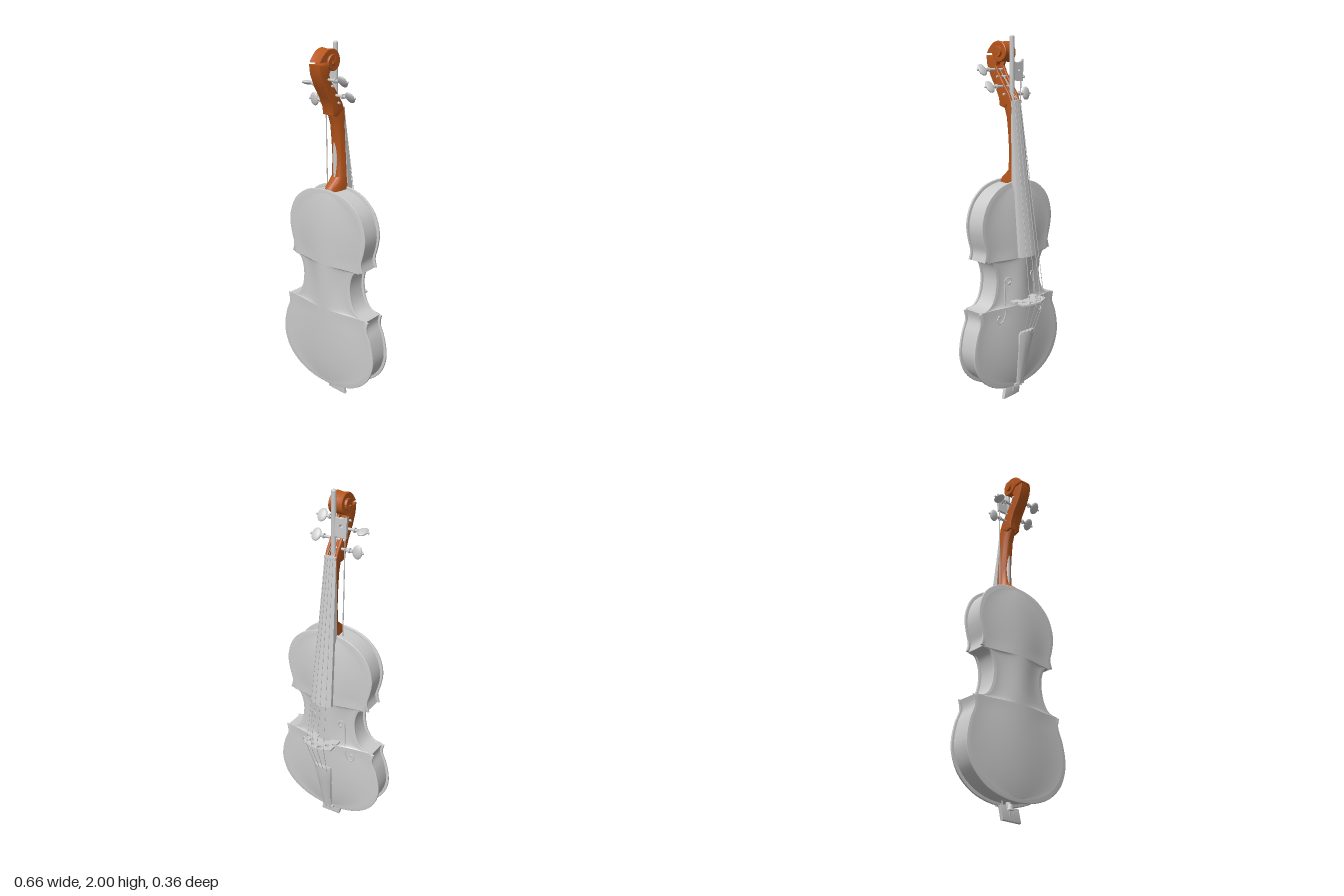
import * as THREE from 'three';
import { toCreasedNormals } from 'three/addons/utils/BufferGeometryUtils.js';

const V = (x, y, z = 0) => new THREE.Vector3(x, y, z);
const grey = new THREE.MeshStandardMaterial({ color: 0xcccccc, side: THREE.DoubleSide });
const wood = new THREE.MeshStandardMaterial({ color: 0xb8561c, side: THREE.DoubleSide });

function add(parent, name, geo, mat = grey) {
  const mesh = new THREE.Mesh(geo, mat);
  mesh.name = name;
  parent.add(mesh);
  return mesh;
}

// Skin over a list of equal-length closed rings, with fan caps.
function loft(rings, crease = 0.6) {
  const n = rings[0].length, pos = [], idx = [];
  rings.forEach(r => r.forEach(p => pos.push(p.x, p.y, p.z)));
  for (let i = 0; i < rings.length - 1; i++) for (let j = 0; j < n; j++) {
    const a = i * n + j, b = i * n + (j + 1) % n;
    idx.push(a, b, a + n, b, b + n, a + n);
  }
  [0, rings.length - 1].forEach(k => {
    const c = rings[k].reduce((s, p) => s.add(p), V(0, 0)).divideScalar(n), ci = pos.length / 3;
    pos.push(c.x, c.y, c.z);
    for (let j = 0; j < n; j++) {
      const a = k * n + j, b = k * n + (j + 1) % n;
      k ? idx.push(ci, a, b) : idx.push(ci, b, a);
    }
  });
  const g = new THREE.BufferGeometry();
  g.setAttribute('position', new THREE.Float32BufferAttribute(pos, 3));
  g.setIndex(idx);
  return toCreasedNormals(g, crease);
}

function rod(a, b, r, r2 = r, seg = 12) {
  const d = b.clone().sub(a);
  const g = new THREE.CylinderGeometry(r2, r, d.length(), seg);
  g.applyQuaternion(new THREE.Quaternion().setFromUnitVectors(V(0, 1), d.normalize()));
  const m = a.clone().add(b).multiplyScalar(0.5);
  return g.translate(m.x, m.y, m.z);
}

function extrude(shape, depth, bevel = 0) {
  const g = new THREE.ExtrudeGeometry(shape, { depth: depth - 2 * bevel, bevelEnabled: bevel > 0,
    bevelThickness: bevel, bevelSize: bevel, bevelOffset: -bevel, bevelSegments: 3, curveSegments: 12 });
  return toCreasedNormals(g.translate(0, 0, bevel), 0.6);
}
const poly = pts => new THREE.Shape(pts.map(p => new THREE.Vector2(p[0], p[1])));

// Half outline of the body, bottom to top: lower bout, waist, upper bout.
const bouts = [
  [[0, 0.08], [0.09, 0.088], [0.18, 0.115], [0.25, 0.16], [0.3, 0.22], [0.328, 0.3], [0.328, 0.37], [0.31, 0.45], [0.284, 0.515], [0.293, 0.568]],
  [[0.293, 0.568], [0.25, 0.574], [0.21, 0.594], [0.18, 0.645], [0.167, 0.72], [0.175, 0.785], [0.2, 0.83], [0.252, 0.841]],
  [[0.252, 0.841], [0.24, 0.89], [0.255, 0.95], [0.266, 1.02], [0.255, 1.09], [0.22, 1.16], [0.15, 1.218], [0.07, 1.244], [0, 1.25]]];
const half = bouts.flatMap(b => new THREE.SplineCurve(b.map(p => new THREE.Vector2(...p))).getPoints(24));
const MID = 0.665;
const inset = d => half.map(p => [Math.max(0, p.x - d), MID + (p.y - MID) * (1 - d / 0.585)]);
const outline = pts => poly([...pts, ...pts.slice(1, -1).reverse().map(p => [-p[0], p[1]])]);

// Arching height 0..1 at a fraction s of the half width.
const arch = (s, y) => (0.5 + 0.5 * Math.cos(Math.PI * Math.min(1, Math.abs(s)))) *
  Math.max(0, 1 - (Math.abs(y - MID) / 0.565) ** 4);

function dome(base, height) {
  const rows = inset(0.02), N = 32, pos = [], idx = [];
  rows.forEach(([w, y], i) => {
    for (let j = 0; j <= N; j++) {
      const s = (j / N) * 2 - 1;
      pos.push(s * w, y, base + height * arch(s, y));
      if (i && j) { const a = i * (N + 1) + j; idx.push(a, a - 1, a - N - 2, a, a - N - 2, a - N - 1); }
    }
  });
  const g = new THREE.BufferGeometry();
  g.setAttribute('position', new THREE.Float32BufferAttribute(pos, 3));
  g.setIndex(idx);
  g.computeVertexNormals();
  return g;
}
const BELLY = -0.0272, RISE = -0.038;
function bellyPoint(x, y) {
  const p = inset(0.02).find(q => q[1] >= y);
  return V(x, y, BELLY + RISE * arch(x / p[0], y));
}

// Board with a rounded playing face: [y, half width, underside z, edge z, crown z]
const board = secs => loft(secs.map(([y, w, under, edge, crown]) => {
  const ring = [V(w, y, under), V(-w, y, under)];
  for (let i = 0; i <= 10; i++) {
    const s = i / 5 - 1;
    ring.push(V(s * w, y, crown + (edge - crown) * s * s));
  }
  return ring;
}));

function makePeg(y, z, side, tilt) {
  const peg = new THREE.Group();
  peg.name = 'tuningPeg';
  add(peg, 'pegShaft', rod(V(-0.045, 0), V(0.1, 0), 0.006, 0.008));
  add(peg, 'pegCollar', rod(V(0.076, 0), V(0.084, 0), 0.013));
  add(peg, 'pegKnob', new THREE.SphereGeometry(1, 24, 16).scale(0.027, 0.035, 0.011).translate(0.125, 0, 0));
  add(peg, 'pegTip', new THREE.SphereGeometry(0.006, 12, 8).translate(0.156, 0, 0));
  peg.position.set(0, y, z);
  peg.rotation.set(tilt, side > 0 ? 0 : Math.PI, 0);
  return peg;
}

export function createModel() {
  const model = new THREE.Group();

  // Sound box
  add(model, 'ribs', extrude(outline(inset(0.014)), 0.112).translate(0, 0, -0.02));
  add(model, 'bellyEdge', extrude(outline(inset(0)), 0.011, 0.003).translate(0, 0, -0.027));
  add(model, 'backEdge', extrude(outline(inset(0)), 0.011, 0.003).translate(0, 0, 0.088));
  add(model, 'bellyArch', dome(BELLY, RISE));
  add(model, 'backArch', dome(0.0992, 0.027));
  for (const s of [1, -1]) {
    const path = [[0.085, 0.7], [0.075, 0.715], [0.085, 0.733], [0.105, 0.725], [0.11, 0.69], [0.115, 0.61],
      [0.122, 0.535], [0.14, 0.495], [0.162, 0.49], [0.172, 0.51], [0.16, 0.525]].map(p => bellyPoint(s * p[0], p[1]));
    add(model, 'soundHole', new THREE.TubeGeometry(new THREE.CatmullRomCurve3(path), 60, 0.0045, 6));
    for (const p of [path[0], path[10]])
      add(model, 'soundHoleEye', new THREE.SphereGeometry(0.009, 12, 8).scale(1, 1, 0.5).translate(p.x, p.y, p.z));
  }

  // Neck with heel: [y, back z, front z, half width]
  const neck = [[1.235, 0.098, -0.03, 0.044], [1.26, 0.085, -0.03, 0.043], [1.28, 0.06, -0.028, 0.041], [1.305, 0.032, -0.027, 0.04],
    [1.4, 0.024, -0.023, 0.039], [1.5, 0.034, -0.018, 0.037], [1.58, 0.045, -0.013, 0.036], [1.62, 0.06, -0.01, 0.036], [1.665, 0.078, -0.006, 0.034]];
  add(model, 'neck', loft(neck.map(([y, b, f, w]) => Array.from({ length: 17 }, (_, i) => {
    const a = (i / 16) * Math.PI;
    return V(Math.cos(a) * w, y, f + (b - f) * Math.sin(a) ** 0.7);
  }))), wood);

  // Pegbox: two cheeks and a floor, drawn as (z, y)
  const back = [[0.177, 1.9], [0.171, 1.85], [0.145, 1.79], [0.108, 1.73], [0.084, 1.68], [0.078, 1.64]];
  const front = [[0.045, 1.63], [-0.006, 1.665], [0.008, 1.7], [0.05, 1.757], [0.087, 1.81], [0.105, 1.845], [0.085, 1.89]];
  const floor = [[0.05, 1.65], [0.05, 1.69], [0.08, 1.74], [0.115, 1.8], [0.13, 1.85], [0.1, 1.9]];
  const side = (pts, width, x) => extrude(poly(pts), width, 0.004).rotateY(-Math.PI / 2).translate(x + width, 0, 0);
  add(model, 'pegboxCheek', side([...back, ...front], 0.015, 0.02), wood);
  add(model, 'pegboxCheek', side([...back, ...front], 0.015, -0.035), wood);
  add(model, 'pegboxFloor', side([...back, ...floor], 0.052, -0.026), wood);

  // Scroll: a spiral that widens towards its eye
  const turns = [];
  for (let i = 0; i <= 120; i++) {
    const t = (i / 120) * Math.PI * 4, r = 0.066 - 0.004 * t + 0.029 * Math.exp(-2 * t);
    const w = 0.033 + 0.024 * (i / 120);
    const at = (x, q) => V(x, 1.91 + Math.sin(t) * q, 0.082 + Math.cos(t) * q);
    turns.push([at(-w, 0), at(-w, r * 0.94), at(-w * 0.9, r), at(0, r - 0.004), at(w * 0.9, r), at(w, r * 0.94), at(w, 0)]);
  }
  add(model, 'scroll', loft(turns, 0.5), wood);

  // Pegs
  [[1.825, 0.112, 1, 0.6], [1.74, 0.056, 1, 0.6], [1.79, 0.088, -1, 1.35], [1.7, 0.04, -1, 0.1]]
    .forEach(p => model.add(makePeg(...p)));

  // Fingerboard, nut and tailpiece
  add(model, 'fingerboard', board([[1.655, 0.034, -0.005, -0.012, -0.02], [1.24, 0.049, -0.025, -0.058, -0.07],
    [1.2, 0.051, -0.046, -0.064, -0.076], [0.85, 0.065, -0.088, -0.107, -0.124]]));
  add(model, 'nut', board([[1.67, 0.034, -0.002, -0.015, -0.023], [1.655, 0.034, -0.002, -0.015, -0.024]]));
  add(model, 'tailpiece', board([[0.425, 0.05, -0.088, -0.098, -0.112], [0.41, 0.056, -0.085, -0.096, -0.112],
    [0.3, 0.042, -0.068, -0.077, -0.092], [0.1, 0.025, -0.037, -0.045, -0.055]]));
  add(model, 'saddle', new THREE.BoxGeometry(0.07, 0.014, 0.02).translate(0, 0.088, -0.028));
  add(model, 'endButton', rod(V(0, 0.055, 0.03), V(0, 0.085, 0.03), 0.019, 0.013, 20));
  for (const s of [1, -1])
    add(model, 'tailGut', new THREE.TubeGeometry(new THREE.CatmullRomCurve3(
      [V(s * 0.012, 0.11, -0.045), V(s * 0.014, 0.076, -0.035), V(s * 0.017, 0.073, 0.03)]), 16, 0.003, 6));

  // Bridge, drawn as (x, height above the belly side)
  const crown = Array.from({ length: 13 }, (_, i) => {
    const x = 0.09 - i * 0.015;
    return [x, 0.178 - 0.028 * (x / 0.09) ** 2];
  });
  const bridge = poly([[0.09, 0.107], ...crown, [-0.09, 0.107], [-0.07, 0.104], [-0.07, 0.094], [-0.09, 0.09], [-0.09, 0.05],
    [-0.045, 0.05], [-0.035, 0.085], [0.035, 0.085], [0.045, 0.05], [0.09, 0.05], [0.09, 0.09], [0.07, 0.094], [0.07, 0.104]]);
  for (const [x, y, r] of [[0.024, 0.153, 0.012], [-0.024, 0.153, 0.012], [0.052, 0.124, 0.012], [-0.052, 0.124, 0.012]])
    bridge.holes.push(new THREE.Path().absellipse(x, y, r, r * 1.1, 0, Math.PI * 2));
  add(model, 'bridge', extrude(bridge, 0.009).rotateX(-Math.PI / 2).translate(0, 0.595, 0));

  // Strings from tailpiece over bridge and nut to the pegs
  const pegEnds = [[1.7, 0.04], [1.79, 0.088], [1.825, 0.112], [1.74, 0.056]];
  pegEnds.forEach(([py, pz], i) => {
    const k = (i - 1.5) / 1.5;
    const pts = [V(k * 0.035, 0.405, -0.106), V(k * 0.056, 0.6, -0.18 + 0.011 * k * k),
      V(k * 0.021, 1.662, -0.024 + 0.003 * k * k), V(k * 0.012, py, pz - 0.007)];
    for (let j = 0; j < 3; j++) add(model, 'string', rod(pts[j], pts[j + 1], 0.0017, 0.0017, 6));
  });

  // Bow running through the instrument
  const bow = new THREE.Group();
  bow.name = 'bow';
  add(bow, 'bowStick', rod(V(0, 0.03, 0.02), V(0, 1.99, 0.02), 0.013, 0.013, 16));
  add(bow, 'bowCap', new THREE.SphereGeometry(0.013, 16, 8).scale(1, 0.77, 1).translate(0, 1.99, 0.02));
  add(bow, 'bowFrog', extrude(poly([[-0.06, 0.075], [-0.045, 0.005], [0.075, 0], [0.058, 0.07]]), 0.02, 0.002).translate(0, 0, 0.011));
  const tip = poly([[-0.08, 1.88], [-0.06, 1.865], [-0.035, 1.86], [0, 1.87], [0, 1.77], [-0.075, 1.765]]);
  tip.holes.push(new THREE.Path().absellipse(-0.045, 1.825, 0.009, 0.009, 0, Math.PI * 2));
  add(bow, 'bowHead', extrude(tip, 0.014).translate(0, 0, 0.013));
  add(bow, 'bowHair', rod(V(-0.066, 1.77, 0.02), V(-0.04, 0.06, 0.02), 0.003, 0.003, 6));
  model.add(bow);
  return model;
}
